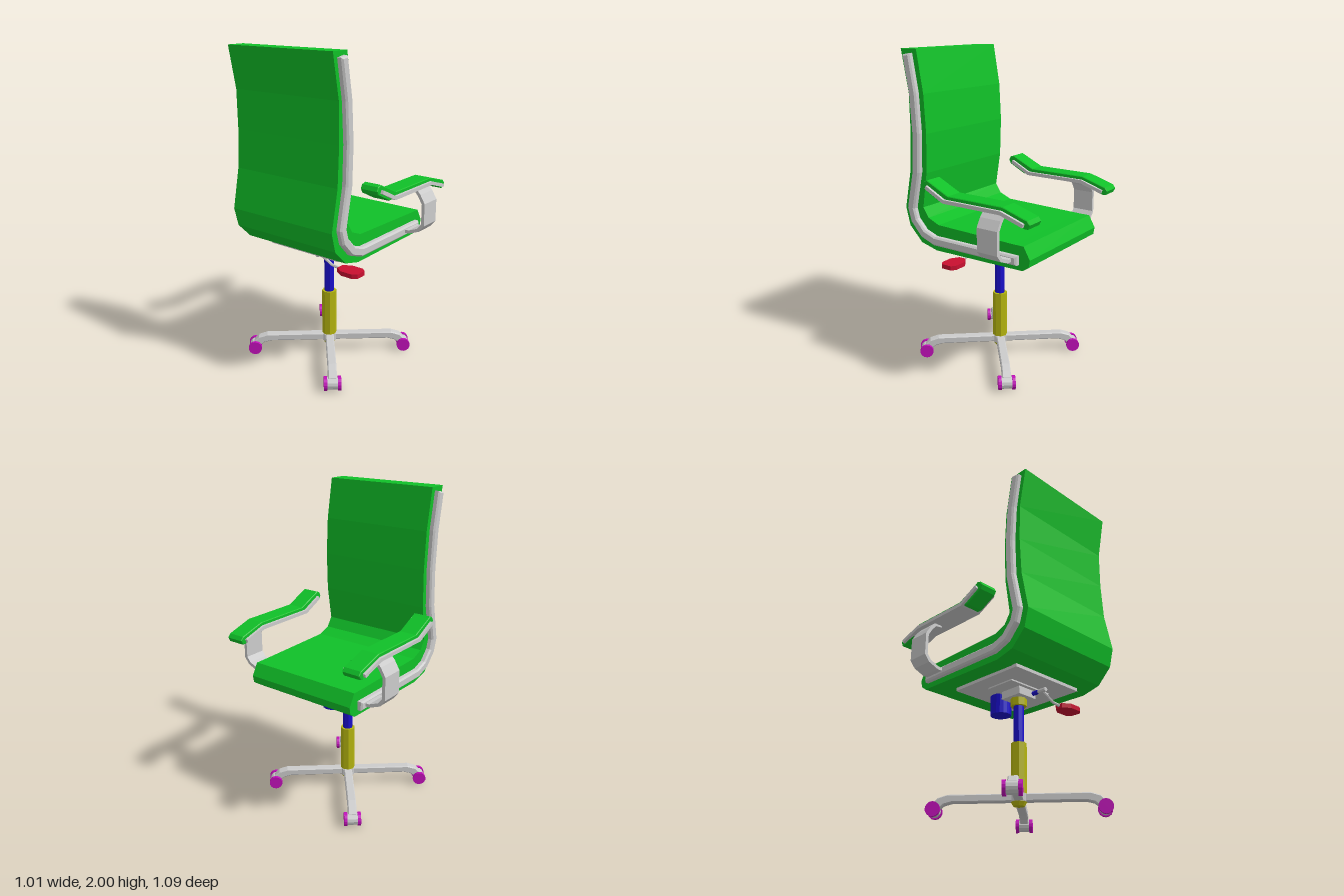
import * as THREE from 'three';

const mat = (color) => new THREE.MeshStandardMaterial({ color, flatShading: true });
const GREY = mat(0xcccccc), GREEN = mat(0x10c028), BLUE = mat(0x1a0fcc);
const YELLOW = mat(0xb4b40f), MAGENTA = mat(0xc010b8), RED = mat(0xc81030);

function add(parent, name, geometry, material, x = 0, y = 0, z = 0) {
  const mesh = new THREE.Mesh(geometry, material);
  mesh.name = name;
  mesh.position.set(x, y, z);
  parent.add(mesh);
  return mesh;
}

// Side profile extruded along z, centred on z = 0
function slab(points, width, bevel = 0) {
  const shape = new THREE.Shape(points.map(([x, y]) => new THREE.Vector2(x, y)));
  const depth = width - 2 * bevel;
  const geo = new THREE.ExtrudeGeometry(shape, {
    depth, bevelEnabled: bevel > 0, bevelSize: bevel, bevelThickness: bevel,
    bevelOffset: -bevel, bevelSegments: 1,
  });
  return geo.translate(0, 0, -depth / 2);
}

// Outline of a band of even thickness along a path, with mitred corners
function band(path, thickness) {
  const pts = path.map(([x, y]) => new THREE.Vector2(x, y));
  const a = [], b = [];
  pts.forEach((p, i) => {
    const d0 = pts[Math.max(i, 1)].clone().sub(pts[Math.max(i, 1) - 1]).normalize();
    const j = Math.min(i + 1, pts.length - 1);
    const d1 = pts[j].clone().sub(pts[j - 1]).normalize();
    const n = new THREE.Vector2(-d0.y - d1.y, d0.x + d1.x).normalize();
    const h = thickness / 2 / (n.x * -d0.y + n.y * d0.x);
    a.push([p.x + n.x * h, p.y + n.y * h]);
    b.unshift([p.x - n.x * h, p.y - n.y * h]);
  });
  return [...a, ...b];
}

const cyl = (rTop, rBottom, h, sides) => new THREE.CylinderGeometry(rTop, rBottom, h, sides);

function buildSeat(chair) {
  // One continuous cushion for seat and back
  add(chair, 'seatAndBack', slab([
    [-0.495, 2], [-0.445, 1.745], [-0.442, 1.51], [-0.455, 1.275], [-0.505, 1.03],
    [-0.475, 0.915], [-0.38, 0.82], [-0.26, 0.79], [0.38, 0.797], [0.42, 0.825],
    [0.428, 0.87], [0.385, 0.945], [0.32, 0.945], [-0.24, 0.957], [-0.32, 0.99], [-0.36, 1.05],
    [-0.325, 1.27], [-0.317, 1.51], [-0.33, 1.745], [-0.375, 2],
  ], 0.756), GREEN);
  // Trim rail on each side
  const rail = slab(band([
    [-0.433, 1.972], [-0.392, 1.745], [-0.378, 1.51], [-0.387, 1.275], [-0.437, 1.04],
    [-0.415, 0.965], [-0.345, 0.89], [-0.255, 0.858], [0.355, 0.858],
  ], 0.056), 0.06, 0.01);
  for (const s of [1, -1]) add(chair, 'sideRail', rail, GREY, 0, 0, s * 0.382);
}

function buildArms(chair) {
  const pad = slab([
    [-0.253, 1.232], [-0.24, 1.256], [-0.215, 1.265], [-0.2, 1.257], [-0.06, 1.192],
    [0.325, 1.192], [0.488, 1.142], [0.505, 1.12], [0.492, 1.094], [0.47, 1.092],
    [0.32, 1.155], [-0.08, 1.155], [-0.13, 1.152], [-0.24, 1.208],
  ], 0.115, 0.004);
  const plate = slab(band([[-0.217, 1.226], [-0.085, 1.16], [0.32, 1.16], [0.468, 1.113]], 0.022), 0.148);
  // Bracket path is drawn in (z, y), then turned to run across x
  const bracket = slab(band([
    [0.43, 1.148], [0.475, 1.143], [0.505, 1.11], [0.535, 1.06], [0.535, 0.925],
    [0.505, 0.888], [0.44, 0.862], [0.37, 0.862],
  ], 0.02), 0.14).rotateY(-Math.PI / 2);
  for (const s of [1, -1]) {
    const arm = new THREE.Group();
    arm.name = s > 0 ? 'nearArmrest' : 'farArmrest';
    add(arm, 'armPad', pad, GREEN, 0, 0, s * 0.44);
    add(arm, 'armPlate', plate, GREY, 0, 0, s * 0.44);
    const b = add(arm, 'armBracket', bracket, GREY, 0.255, 0, 0);
    if (s < 0) b.rotation.y = Math.PI;
    chair.add(arm);
  }
}

function buildMechanism(chair) {
  add(chair, 'seatPlate', new THREE.BoxGeometry(0.52, 0.02, 0.53), GREY, -0.04, 0.783, 0);
  add(chair, 'innerPlate', new THREE.BoxGeometry(0.2, 0.012, 0.32), GREY, -0.055, 0.77, 0);
  add(chair, 'tiltHousing', new THREE.BoxGeometry(0.15, 0.065, 0.14), GREY, -0.055, 0.748, 0);
  add(chair, 'tensionKnob', cyl(0.065, 0.065, 0.135, 18), BLUE, 0.1, 0.717, 0);
  // Height lever: pivot, bent rod and paddle
  add(chair, 'leverPivot', cyl(0.014, 0.014, 0.05, 8).rotateZ(Math.PI / 2), BLUE, -0.152, 0.745, 0.05);
  add(chair, 'leverKnuckle', cyl(0.014, 0.014, 0.06, 8).rotateZ(Math.PI / 2), GREY, -0.205, 0.745, 0.05);
  const bends = [[0.74, 0.05], [0.735, 0.07], [0.695, 0.14], [0.685, 0.23]]
    .map(([y, z]) => new THREE.Vector3(-0.205, y, z));
  const rod = new THREE.CurvePath();
  for (let i = 1; i < bends.length; i++) rod.add(new THREE.LineCurve3(bends[i - 1], bends[i]));
  add(chair, 'leverRod', new THREE.TubeGeometry(rod, 12, 0.009, 6), GREY);
  const paddle = slab([
    [-0.025, -0.2], [0.025, -0.2], [0.057, -0.25], [0.057, -0.33],
    [0.035, -0.36], [-0.035, -0.36], [-0.057, -0.33], [-0.057, -0.25],
  ], 0.028).rotateX(-Math.PI / 2);
  add(chair, 'leverPaddle', paddle, RED, -0.203, 0.685, 0);
}

function buildBase(chair) {
  const base = new THREE.Group();
  base.name = 'base';
  base.position.x = -0.055;
  chair.add(base);
  // Gas column
  add(base, 'columnCollar', cyl(0.05, 0.05, 0.055, 8), YELLOW, 0, 0.695, 0);
  add(base, 'columnPiston', cyl(0.032, 0.032, 0.29, 8), BLUE, 0, 0.555, 0);
  add(base, 'columnSleeve', cyl(0.047, 0.047, 0.35, 8), YELLOW, 0, 0.26, 0);
  add(base, 'columnFoot', cyl(0.047, 0.033, 0.025, 8), YELLOW, 0, 0.0745, 0);
  add(base, 'hub', cyl(0.052, 0.052, 0.045, 8), GREY, 0, 0.109, 0);
  // Four legs with twin-wheel casters
  const legGeo = slab([
    [0, 0.087], [0.385, 0.087], [0.43, 0.075], [0.46, 0.05], [0.505, 0.05],
    [0.495, 0.085], [0.465, 0.115], [0.41, 0.132], [0, 0.132],
  ], 0.054, 0.006);
  const axle = cyl(0.036, 0.036, 0.07, 12).rotateX(Math.PI / 2);
  const wheel = cyl(0.043, 0.043, 0.02, 14).rotateX(Math.PI / 2);
  for (let i = 0; i < 4; i++) {
    const leg = new THREE.Group();
    leg.name = 'leg';
    leg.rotation.y = THREE.MathUtils.degToRad(40.7 + i * 90);
    add(leg, 'legArm', legGeo, GREY);
    add(leg, 'casterAxle', axle, GREY, 0.489, 0.047, 0);
    for (const s of [1, -1]) add(leg, 'casterWheel', wheel, MAGENTA, 0.489, 0.047, s * 0.042);
    base.add(leg);
  }
}

export function createModel() {
  const chair = new THREE.Group();
  chair.name = 'officeChair';
  buildSeat(chair);
  buildArms(chair);
  buildMechanism(chair);
  buildBase(chair);
  return chair;
}
